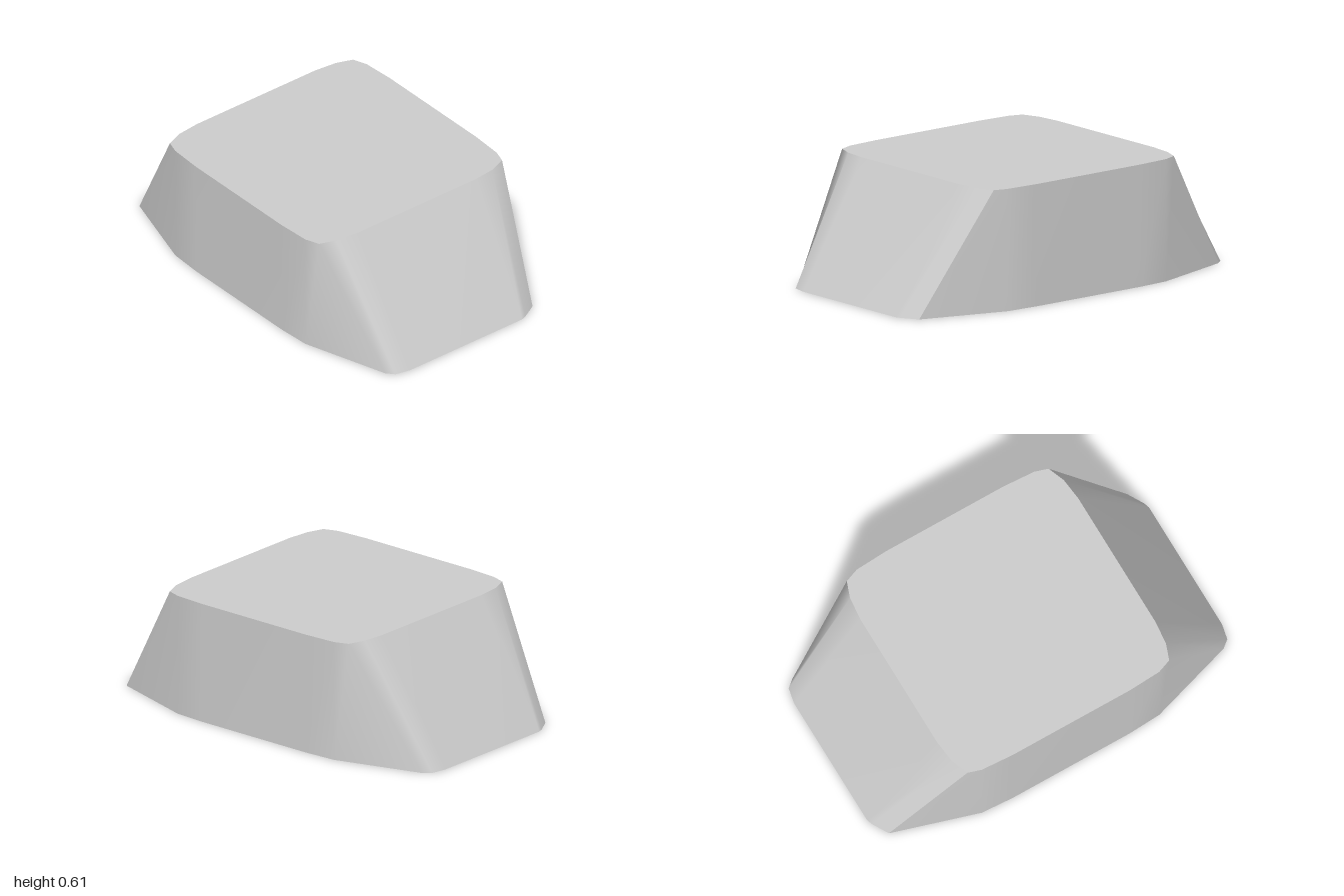
import * as THREE from 'three';

const HEIGHT = 0.61;

// Half of the outline, from the sharp front corner round to the opposite sharp corner.
// Each row: bottom x, bottom z, top x, top z.
const COLUMNS = [
  [0.463, 0.943, 0.578, 0.568],
  [0.6, 0.5, 0.6, 0.5],
  [0.61, 0.33, 0.61, 0.33],
  [0.61, -0.33, 0.61, -0.33],
  [0.6, -0.5, 0.6, -0.5],
  [0.463, -0.943, 0.573, -0.572],
  [0.43, -0.983, 0.49, -0.602],
  [0.35, -1, 0.37, -0.615],
  [-0.35, -1, -0.37, -0.615],
  [-0.38, -0.99, -0.49, -0.602],
  [-0.463, -0.943, -0.578, -0.568],
];

// Smooth wall strip joining the bottom and top outlines
function wallGeometry() {
  const positions = [];
  const indices = [];
  COLUMNS.forEach(([bx, bz, tx, tz], i) => {
    positions.push(bx, 0, bz, tx, HEIGHT, tz);
    if (i < COLUMNS.length - 1) {
      const a = 2 * i;
      indices.push(a, a + 2, a + 3, a, a + 3, a + 1);
    }
  });
  const geometry = new THREE.BufferGeometry();
  geometry.setAttribute('position', new THREE.Float32BufferAttribute(positions, 3));
  geometry.setIndex(indices);
  geometry.computeVertexNormals();
  return geometry;
}

// Flat cap over the whole outline; the second half is the first turned by 180 degrees
function capGeometry(isTop) {
  const k = isTop ? 2 : 0;
  const flip = isTop ? -1 : 1;
  const half = COLUMNS.slice(0, -1).map((c) => new THREE.Vector2(c[k], c[k + 1] * flip));
  const outline = [...half, ...half.map((p) => p.clone().negate())];
  const geometry = new THREE.ShapeGeometry(new THREE.Shape(outline));
  geometry.rotateX((flip * Math.PI) / 2);
  geometry.translate(0, isTop ? HEIGHT : 0, 0);
  return geometry;
}

export function createModel() {
  const model = new THREE.Group();
  model.name = 'taperedBlock';
  const grey = new THREE.MeshStandardMaterial({ color: 0xcccccc });
  grey.name = 'light grey';

  const add = (name, geometry) => {
    const mesh = new THREE.Mesh(geometry, grey);
    mesh.name = name;
    model.add(mesh);
    return mesh;
  };

  // Two matching walls meet at the sharp corners
  const wall = wallGeometry();
  add('leftAndBackWall', wall);
  add('rightAndFrontWall', wall).rotation.y = Math.PI;

  // Flat faces
  add('topFace', capGeometry(true));
  add('bottomFace', capGeometry(false));
  return model;
}
